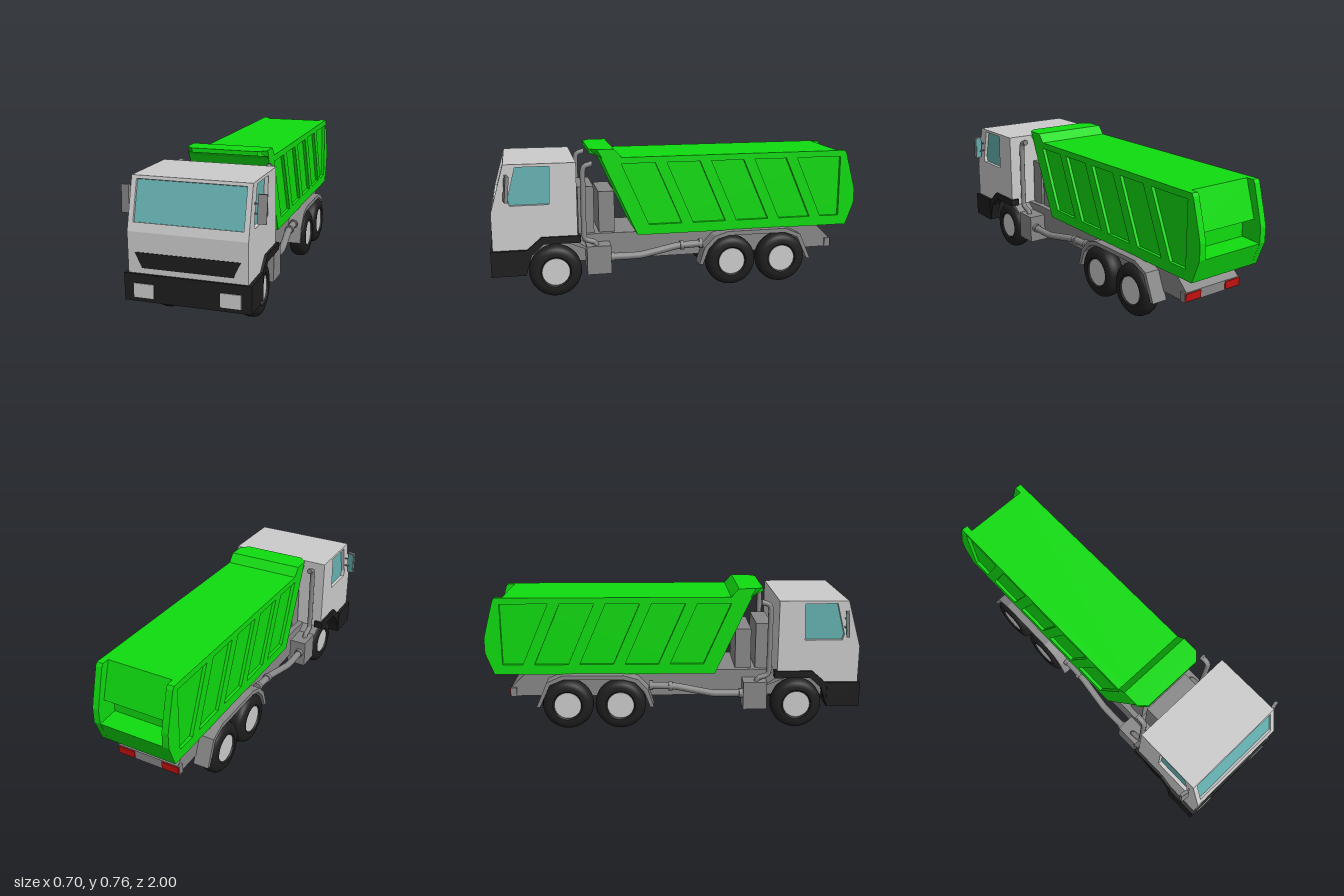
import * as THREE from 'three';
import { toCreasedNormals } from 'three/addons/utils/BufferGeometryUtils.js';

const material = (color) => new THREE.MeshStandardMaterial({ color });
const grey = material(0xcccccc);
const steel = material(0x888888);
const black = material(0x1e1e1e);
const green = material(0x0fdc0f);
const glass = material(0x66b3b3);
const red = material(0xc01010);

export function createModel() {
  const model = new THREE.Group();

  function add(name, geometry, mat, parent = model) {
    const mesh = new THREE.Mesh(geometry, mat);
    mesh.name = name;
    parent.add(mesh);
    return mesh;
  }

  // Side outline of [z, y] points, extruded across the truck from x0 to x1
  const toPoints = (list) => list.map(([a, b]) => new THREE.Vector2(a, b));
  function slab(outline, x0, x1, holes = []) {
    const shape = new THREE.Shape(toPoints(outline));
    holes.forEach((h) => shape.holes.push(new THREE.Path(toPoints(h))));
    const g = new THREE.ExtrudeGeometry(shape, { depth: Math.abs(x1 - x0), bevelEnabled: false });
    return g.rotateY(-Math.PI / 2).translate(Math.max(x0, x1), 0, 0);
  }

  // Box given by its limits
  function box(x0, x1, y0, y1, z0, z1) {
    const g = new THREE.BoxGeometry(Math.abs(x1 - x0), y1 - y0, z1 - z0);
    return g.translate((x0 + x1) / 2, (y0 + y1) / 2, (z0 + z1) / 2);
  }

  function pipe(points, radius) {
    const path = new THREE.CatmullRomCurve3(points.map((p) => new THREE.Vector3(...p)), false, 'catmullrom', 0.2);
    return new THREE.TubeGeometry(path, 40, radius, 14);
  }

  // Cab: grooved core for the windscreen, closed by side walls with window holes
  const cabBase = [[0.555, 0.3], [0.76, 0.3], [0.8, 0.275], [0.985, 0.275], [0.985, 0.47]];
  const cabTop = [[0.915, 0.715], [0.555, 0.715]];
  const groove = [[0.973, 0.512], [0.957, 0.508], [0.904, 0.694], [0.919, 0.7]];
  add('cabCore', slab([...cabBase, ...groove, ...cabTop], -0.262, 0.262), grey);
  add('windscreen', slab([[0.955, 0.509], [0.961, 0.509], [0.908, 0.696], [0.902, 0.696]], -0.262, 0.262), glass);
  const sideWindow = [[0.695, 0.505], [0.89, 0.505], [0.9, 0.535], [0.857, 0.7], [0.688, 0.7]];

  // Grille, bumper and headlights
  const grilleShape = new THREE.Shape(toPoints([[-0.218, 0.302], [0.218, 0.302], [0.252, 0.375], [-0.252, 0.375]]));
  add('grille', new THREE.ExtrudeGeometry(grilleShape, { depth: 0.008, bevelEnabled: false }).translate(0, 0, 0.98), black);
  add('bumper', box(-0.305, 0.305, 0.143, 0.275, 0.82, 0.996), black);

  // Chassis, tail and the units behind the cab
  add('chassis', slab([[-0.88, 0.165], [0.85, 0.165], [0.85, 0.29], [0.44, 0.31], [-0.79, 0.3], [-0.88, 0.215]], -0.17, 0.17), steel);
  add('tailBar', box(-0.18, 0.18, 0.165, 0.215, -0.88, -0.85), steel);
  add('cabRearUnit', box(-0.14, 0.14, 0.28, 0.56, 0.455, 0.54), steel);
  add('tipperRam', box(-0.14, 0.14, 0.28, 0.53, 0.345, 0.43), steel);

  // Tipper body: notched core, plus side walls carrying recessed panels
  const bodyFront = [[0.23, 0.3], [0.42, 0.72]];
  const bodySide = [...bodyFront, [-0.935, 0.72], [-0.945, 0.705], [-0.985, 0.56], [-1, 0.5], [-1, 0.42], [-0.955, 0.3]];
  const bodyCore = [...bodyFront, [-0.895, 0.72], [-0.955, 0.53], [-0.885, 0.5], [-0.885, 0.425], [-0.999, 0.42], [-0.955, 0.3]];
  add('tipperCore', slab(bodyCore, -0.176, 0.176), green);
  const panels = [];
  for (let i = 0; i < 5; i++) {
    const z = 0.313 - i * 0.2425;
    const last = i === 4;
    panels.push([[z, 0.687], [last ? -0.91 : z - 0.18, 0.687], [last ? -0.91 : z - 0.325, 0.354], [z - 0.145, 0.354]]);
  }

  // Canopy over the front of the tipper, front corners pulled in
  const canopy = slab([[0.41, 0.715], [0.42, 0.72], [0.44, 0.735], [0.48, 0.743], [0.48, 0.765], [0.44, 0.765], [0.35, 0.765], [0.305, 0.715]], -0.21, 0.21);
  const pos = canopy.attributes.position;
  for (let i = 0; i < pos.count; i++) if (pos.getZ(i) > 0.46) pos.setX(i, pos.getX(i) * 0.81);
  canopy.computeVertexNormals();
  add('canopy', canopy, green);

  // Wheel: rounded tyre and rim disc, outer face toward +x
  const tyre = toCreasedNormals(new THREE.LatheGeometry(toPoints([
    [0, 0], [0.1, 0], [0.12, 0.006], [0.132, 0.018], [0.137, 0.035], [0.137, 0.06],
    [0.132, 0.077], [0.12, 0.089], [0.1, 0.095], [0.08, 0.094], [0.072, 0.084], [0, 0.084],
  ]), 40).rotateZ(-Math.PI / 2), 0.7);
  const rim = new THREE.CylinderGeometry(0.072, 0.072, 0.006, 32).rotateZ(Math.PI / 2).translate(0.085, 0, 0);

  const frontArch = [
    [0.82, 0.145], [0.84, 0.275], [0.81, 0.275], [0.8, 0.285], [0.74, 0.337], [0.54, 0.337],
    [0.54, 0.3], [0.73, 0.3], [0.79, 0.245], [0.805, 0.2],
  ];
  const rearArch = [
    [-0.1, 0.125], [-0.13, 0.22], [-0.185, 0.28], [-0.26, 0.303], [-0.59, 0.303], [-0.675, 0.265], [-0.735, 0.125],
    [-0.715, 0.125], [-0.658, 0.25], [-0.585, 0.28], [-0.265, 0.28], [-0.2, 0.262], [-0.152, 0.21], [-0.12, 0.125],
  ];

  for (const s of [1, -1]) {
    const side = new THREE.Group();
    side.name = s > 0 ? 'leftSide' : 'rightSide';
    model.add(side);

    // Cab side
    add('cabSide', slab([...cabBase, ...cabTop], s * 0.262, s * 0.287, [sideWindow]), grey, side);
    add('sideWindow', slab(sideWindow, s * 0.255, s * 0.268), glass, side);
    add('frontFender', slab(frontArch, s * 0.25, s * 0.3), black, side);
    add('fenderTail', slab([[0.5, 0.25], [0.51, 0.265], [0.56, 0.3], [0.62, 0.3], [0.55, 0.27]], s * 0.165, s * 0.27), steel, side);
    add('headlight', box(s * 0.16, s * 0.257, 0.163, 0.23, 0.99, 1), grey, side);

    // Mirror on two arms
    const mirror = new THREE.Group();
    mirror.name = 'mirror';
    mirror.position.set(s * 0.325, 0.6, 0.905);
    mirror.rotation.set(-0.08, s * 0.2, s * -0.02);
    side.add(mirror);
    add('mirrorHousing', new THREE.BoxGeometry(0.042, 0.132, 0.016), steel, mirror);
    add('mirrorGlass', new THREE.BoxGeometry(0.034, 0.12, 0.004).translate(0, 0, -0.008), glass, mirror);
    for (const y of [0.577, 0.622]) {
      const arm = new THREE.CylinderGeometry(0.004, 0.004, 0.045, 8).rotateZ(Math.PI / 2);
      add('mirrorArm', arm.translate(s * 0.298, y, 0.9), steel, side);
    }

    // Wheels
    for (const z of [0.67, -0.28, -0.565]) {
      const wheel = new THREE.Group();
      wheel.name = 'wheel';
      wheel.position.set(s * 0.167, 0.137, z);
      if (s < 0) wheel.rotation.y = Math.PI;
      add('tyre', tyre, black, wheel);
      add('rim', rim, grey, wheel);
      side.add(wheel);
    }
    add('rearMudguard', slab(rearArch, s * 0.165, s * 0.25), steel, side);

    // Tipper wall
    add('tipperInnerWall', slab(bodySide, s * 0.175, s * 0.193), green, side);
    add('tipperOuterWall', slab(bodySide, s * 0.193, s * 0.21, panels), green, side);

    // Exhaust: silencer box, upright stack and long pipe
    add('silencerBox', box(s * 0.155, s * 0.265, 0.113, 0.265, 0.38, 0.507), steel, side);
    const x = s * 0.23;
    add('exhaustStack', pipe([[x, 0.25, 0.45], [x, 0.28, 0.46], [x, 0.293, 0.5], [x, 0.32, 0.518], [x, 0.65, 0.518], [x, 0.685, 0.508], [x, 0.695, 0.475]], 0.014), steel, side);
    add('stackTip', new THREE.CylinderGeometry(0.016, 0.016, 0.012, 16).rotateX(Math.PI / 2).translate(x, 0.695, 0.475), steel, side);
    add('longPipe', pipe([[x, 0.195, 0.39], [x, 0.195, 0.22], [s * 0.21, 0.228, 0.02], [s * 0.205, 0.233, -0.11]], 0.019), steel, side);
    for (const [px, y, z] of [[x, 0.195, 0.37], [s * 0.209, 0.23, -0.01], [s * 0.205, 0.233, -0.115]]) {
      add('pipeCollar', new THREE.CylinderGeometry(0.025, 0.025, 0.02, 16).rotateX(Math.PI / 2).translate(px, y, z), steel, side);
    }

    add('tailLight', box(s * 0.08, s * 0.175, 0.17, 0.21, -0.885, -0.87), red, side);
  }

  return model;
}
